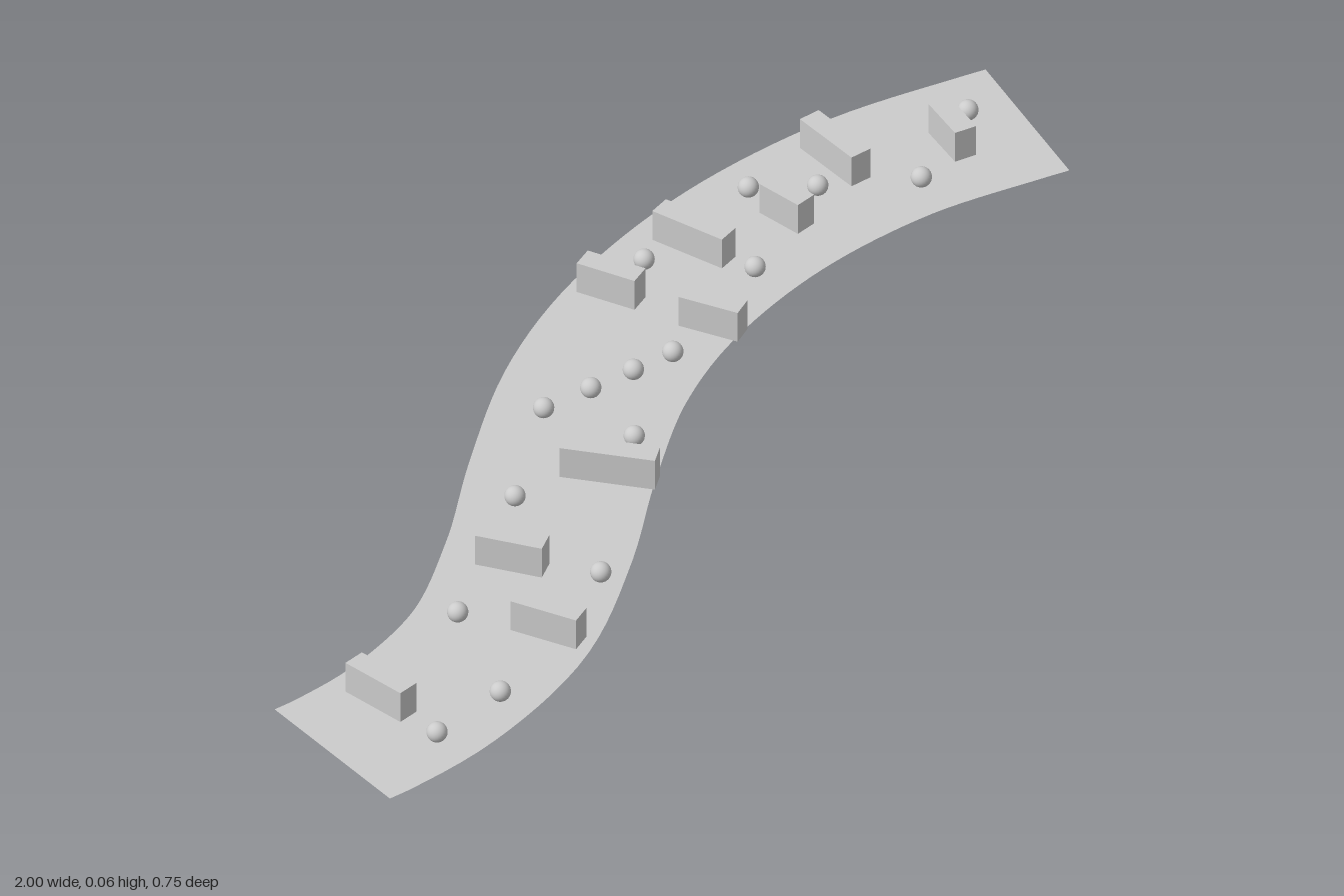
import * as THREE from 'three';

const HALF_WIDTH = 0.145;
const grey = new THREE.MeshStandardMaterial({ color: 0xcccccc });
const greyThin = new THREE.MeshStandardMaterial({ color: 0xcccccc, side: THREE.DoubleSide });

// Centre line of the track as [x, z]
const CENTRE = [
  [-0.975, 0.21], [-0.93, 0.2175], [-0.79, 0.225], [-0.58, 0.19], [-0.38, 0.09], [-0.2, -0.027],
  [0, -0.14], [0.2, -0.206], [0.45, -0.232], [0.7, -0.203], [0.9, -0.136], [0.9475, -0.118],
];

// Barriers: x, z, length, and the direction of the length (dx, dz)
const BARRIERS = [
  [-0.826, 0.174, 0.115, 0, 1], [-0.522, 0.243, 0.112, 6, 20], [-0.43, 0.081, 0.108, 8.5, 18.5],
  [-0.162, 0.037, 0.15, 14, 24], [0.182, -0.28, 0.1, 5, 18], [0.356, -0.268, 0.13, 3.5, 24],
  [0.51, -0.216, 0.08, 0, 1], [0.665, -0.259, 0.127, -3.5, 23.5], [0.823, -0.16, 0.085, -5, 15],
  [0.227, -0.108, 0.1, 6, 18],
];

// Balls: x, z
const BALLS = [
  [-0.843, 0.307], [-0.7, 0.307], [-0.595, 0.12], [-0.37, 0.211], [-0.316, -0.019], [-0.12, -0.141],
  [-0.033, -0.123], [0.046, -0.107], [0.121, -0.094], [-0.078, 0.01], [0.265, -0.288],
  [0.367, -0.15], [0.51, -0.297], [0.586, -0.222], [0.71, -0.12], [0.885, -0.185],
];

// Flat ribbon swept along the centre line
function trackGeometry(steps) {
  const curve = new THREE.CatmullRomCurve3(CENTRE.map(([x, z]) => new THREE.Vector3(x, 0, z)));
  const positions = [], indices = [];
  for (let i = 0; i <= steps; i++) {
    const p = curve.getPointAt(i / steps);
    const t = curve.getTangentAt(i / steps);
    for (const side of [-HALF_WIDTH, HALF_WIDTH]) {
      positions.push(p.x - t.z * side, 0, p.z + t.x * side);
    }
    if (i < steps) {
      const a = i * 2;
      indices.push(a, a + 1, a + 2, a + 1, a + 3, a + 2);
    }
  }
  const geometry = new THREE.BufferGeometry();
  geometry.setAttribute('position', new THREE.Float32BufferAttribute(positions, 3));
  geometry.setIndex(indices);
  geometry.computeVertexNormals();
  return geometry;
}

export function createModel() {
  const model = new THREE.Group();
  model.name = 'curvedTrack';

  const track = new THREE.Mesh(trackGeometry(64), greyThin);
  track.name = 'trackSurface';
  model.add(track);

  // Upright barriers standing on the track
  const barriers = new THREE.Group();
  barriers.name = 'barriers';
  const height = 0.055;
  for (const [x, z, length, dx, dz] of BARRIERS) {
    const barrier = new THREE.Mesh(new THREE.BoxGeometry(0.037, height, length), grey);
    barrier.name = 'barrier';
    barrier.position.set(x, height / 2 + 0.001, z);
    barrier.rotation.y = Math.atan2(dx, dz);
    barriers.add(barrier);
  }
  model.add(barriers);

  // Small balls scattered along the track
  const balls = new THREE.Group();
  balls.name = 'balls';
  const ballGeometry = new THREE.SphereGeometry(0.0165, 24, 16);
  for (const [x, z] of BALLS) {
    const ball = new THREE.Mesh(ballGeometry, grey);
    ball.name = 'ball';
    ball.position.set(x, 0.0195, z);
    balls.add(ball);
  }
  model.add(balls);

  return model;
}
